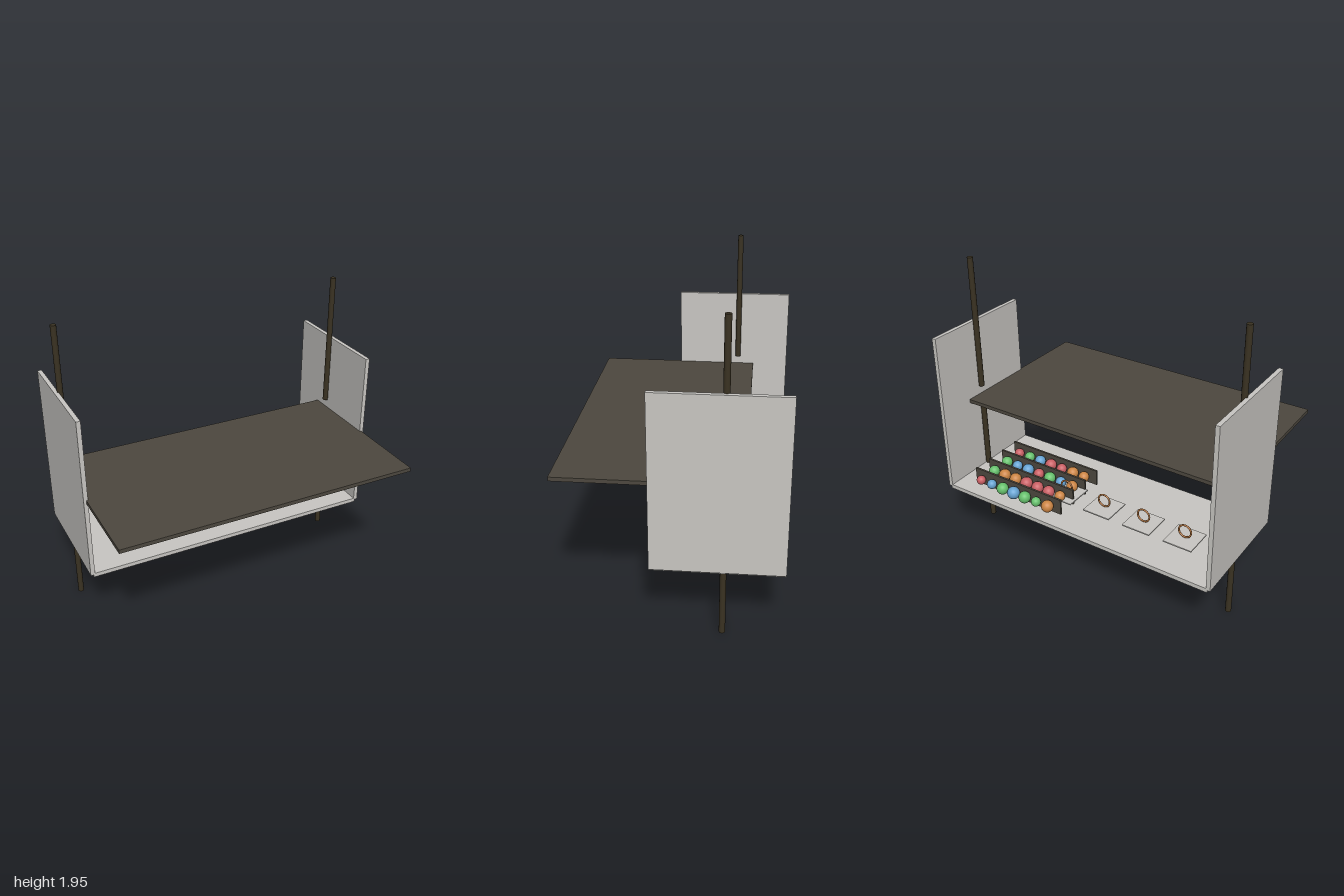
import * as THREE from 'three';

const mat = (name, color, extra = {}) => new THREE.MeshStandardMaterial({ name, color, ...extra });

export function createModel() {
  const group = new THREE.Group();
  const panelMat = mat('pale grey', 0xc9c7c3);
  const slabMat = mat('dark taupe', 0x4d483f);
  const poleMat = mat('dark bronze', 0x3a3222);
  const copper = mat('copper', 0xb87a45);
  const ballMats = {
    o: mat('orange', 0xcc8544),
    g: mat('green', 0x66c06c),
    b: mat('blue', 0x66a3d2),
    r: mat('red', 0xc95f64),
  };

  const add = (name, geometry, material, x, y, z) => {
    const mesh = new THREE.Mesh(geometry, material);
    mesh.name = name;
    mesh.position.set(x, y, z);
    group.add(mesh);
    return mesh;
  };
  // Box given by its lower and upper limits
  const box = (name, material, [x0, x1], [y0, y1], [z0, z1]) =>
    add(name, new THREE.BoxGeometry(x1 - x0, y1 - y0, z1 - z0), material,
      (x0 + x1) / 2, (y0 + y1) / 2, (z0 + z1) / 2);

  // Floor tray and wide table slab
  box('floorPanel', panelMat, [-0.98, 0.98], [0.415, 0.443], [-0.67, 0.117]);
  box('tableSlab', slabMat, [-0.983, 0.983], [0.965, 0.99], [-0.425, 0.672]);

  // Side panels and split poles, mirrored
  for (const s of [-1, 1]) {
    const side = s > 0 ? 'left' : 'right';
    add(side + 'SidePanel', new THREE.BoxGeometry(0.028, 1.09, 0.787), panelMat, s * 0.986, 0.977, -0.2765);
    const pole = new THREE.CylinderGeometry(0.019, 0.019, 0.9, 16);
    add(side + 'LowerPole', pole, poleMat, s * 0.961, 0.45, -0.31);
    add(side + 'UpperPole', pole, poleMat, s * 0.961, 1.5, -0.31);
  }

  // Small display plates, each with a standing ring
  for (let i = 0; i < 4; i++) {
    const x = -0.68 + i * 0.295;
    add('displayPlate', new THREE.BoxGeometry(0.195, 0.008, 0.195), panelMat, x, 0.506, -0.4);
    add('ring', new THREE.TorusGeometry(0.042, 0.006, 10, 32), copper, x, 0.558, -0.4);
  }

  // Rack boards, each with a row of beads behind it
  const rows = [
    ['oggbgbr', [40, 32, 40, 42, 40, 32, 31]],
    ['orrroog', [35, 40, 40, 42, 40, 40, 37]],
    ['obgrbbg', [38, 36, 40, 36, 40, 35, 38]],
    ['oorrbgr', [36, 40, 35, 40, 38, 36, 34]],
  ];
  rows.forEach(([colours, radii], row) => {
    const z = -0.571 + row * 0.134;
    add('rackBoard', new THREE.BoxGeometry(0.705, 0.11, 0.013), slabMat, 0.478, 0.525, z);
    radii.forEach((r, i) => {
      add('bead', new THREE.SphereGeometry(r / 1000, 20, 14), ballMats[colours[i]],
        0.204 + i * 0.092, 0.528, z - 0.042);
    });
  });

  return group;
}
